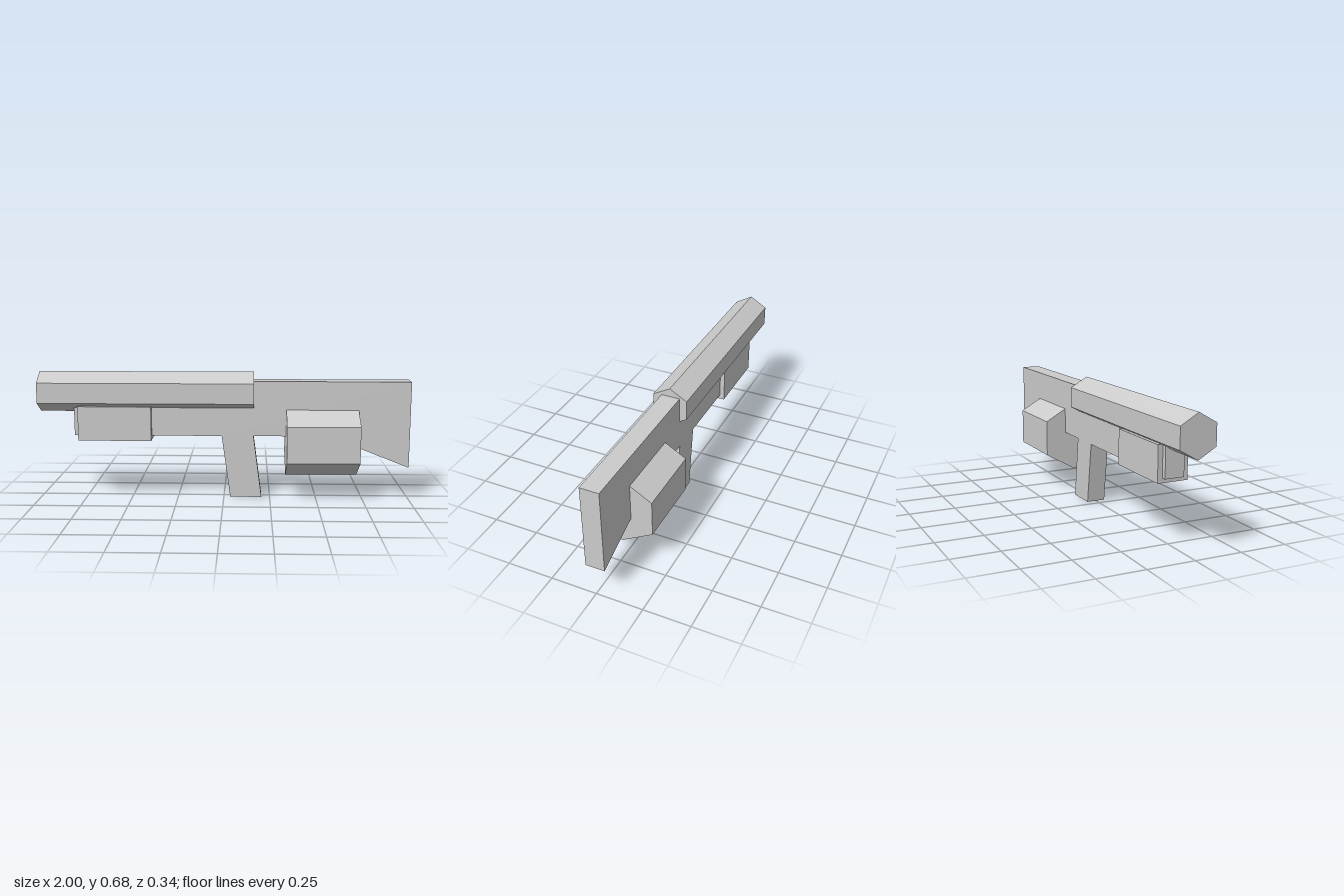
import * as THREE from 'three';

const material = new THREE.MeshStandardMaterial({ color: 0xcccccc, flatShading: true });

function addPart(group, name, geometry, x = 0, y = 0, z = 0) {
  const mesh = new THREE.Mesh(geometry, material);
  mesh.name = name;
  mesh.position.set(x, y, z);
  group.add(mesh);
}

// Six-sided bar lying along x with a ridge at the top and bottom
function hexBar(radius, length) {
  return new THREE.CylinderGeometry(radius, radius, length, 6)
    .rotateY(Math.PI / 2)
    .rotateZ(Math.PI / 2);
}

export function createModel() {
  const group = new THREE.Group();
  group.name = 'model';

  // Flat body with slanted grip and flared stock, cut from one profile
  const profile = [
    [-0.81, 0.637], [-0.81, 0.34], [-0.012, 0.34], [0.035, 0.003], [0.205, 0],
    [0.16, 0.34], [0.567, 0.34], [1, 0.17], [1, 0.637],
  ].map(([x, y]) => new THREE.Vector2(x, y));
  const body = new THREE.ExtrudeGeometry(new THREE.Shape(profile), { depth: 0.102, bevelEnabled: false });
  addPart(group, 'bodyWithGripAndStock', body, 0, 0, -0.055);

  // Long hexagonal barrel along the top
  addPart(group, 'barrel', hexBar(0.109, 1.162), -0.419, 0.575, 0);

  // Wide hexagonal magazine under the stock
  addPart(group, 'magazine', hexBar(0.196, 0.388), 0.53, 0.314, 0);

  // Box fore grip below the barrel
  addPart(group, 'foreGrip', new THREE.BoxGeometry(0.395, 0.185, 0.161), -0.588, 0.409, 0);

  return group;
}
